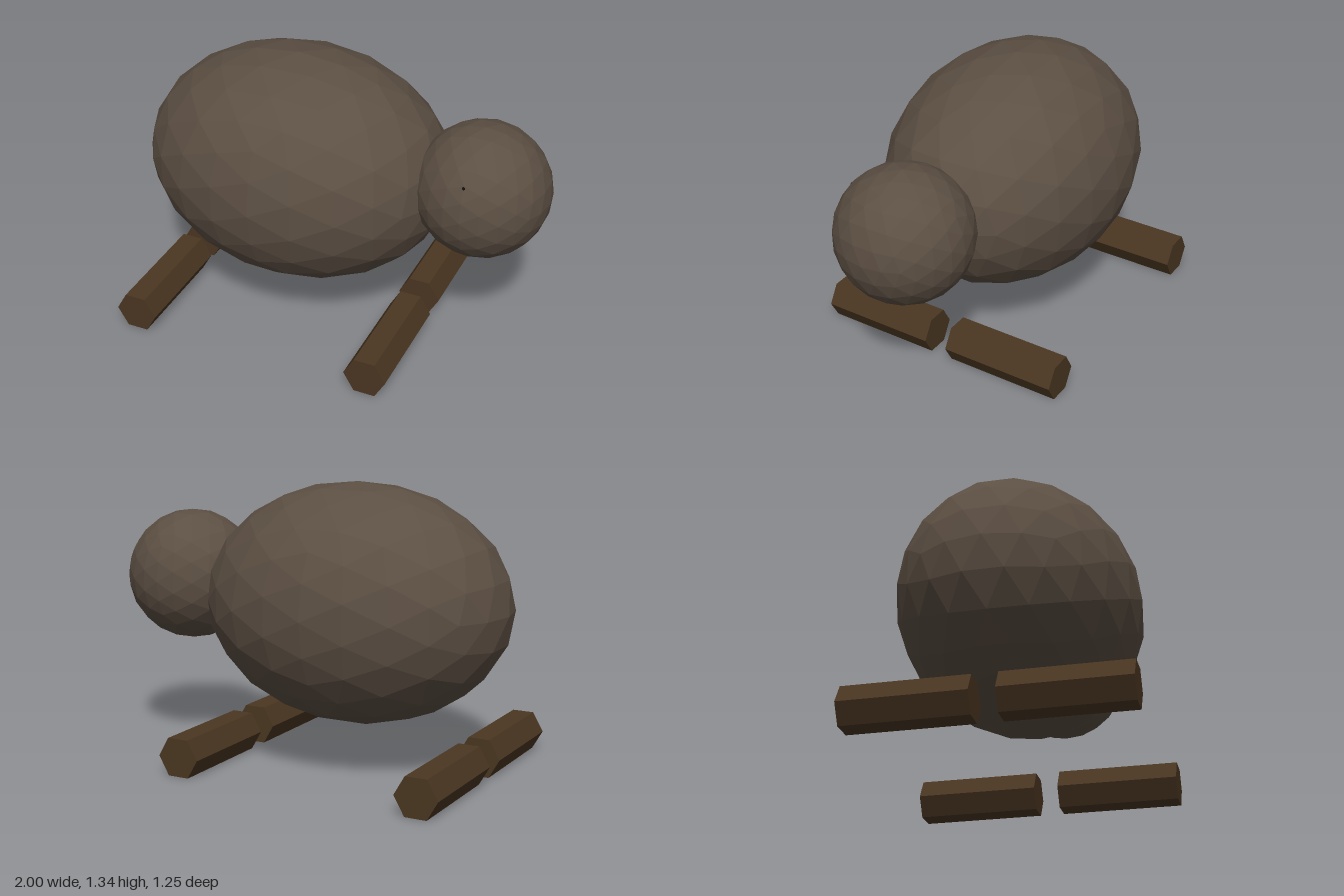
import * as THREE from 'three';

const material = (color) => new THREE.MeshStandardMaterial({ color, flatShading: true });

export function createModel() {
  const model = new THREE.Group();
  const fur = material(0x5c4f43);
  const hide = material(0x4a3621);
  const dark = material(0x111111);

  const add = (name, geometry, mat, x, y, z) => {
    const mesh = new THREE.Mesh(geometry, mat);
    mesh.name = name;
    mesh.position.set(x, y, z);
    model.add(mesh);
    return mesh;
  };

  // Faceted egg-shaped body, stretched along x
  const body = add('body', new THREE.IcosahedronGeometry(0.567, 3), fur, -0.245, 0.775, 0);
  body.scale.x = 1.332;

  // Round head
  add('head', new THREE.IcosahedronGeometry(0.32, 3), fur, 0.675, 0.84, 0);

  // Tiny single eye on the front side of the head
  add('eye', new THREE.SphereGeometry(0.007, 8, 6), dark, 0.675, 1.0, 0.278);

  // Four hexagonal legs lying along z, with a corner pointing along x
  const legGeometry = new THREE.CylinderGeometry(0.104, 0.104, 0.568, 6, 1, false, Math.PI / 2);
  legGeometry.rotateX(Math.PI / 2);
  for (const [end, x] of [['front', 0.36], ['rear', -0.845]]) {
    for (const side of [1, -1]) {
      add(`${end}Leg${side > 0 ? 'Near' : 'Far'}`, legGeometry, hide, x, 0.09, side * 0.341);
    }
  }

  return model;
}
